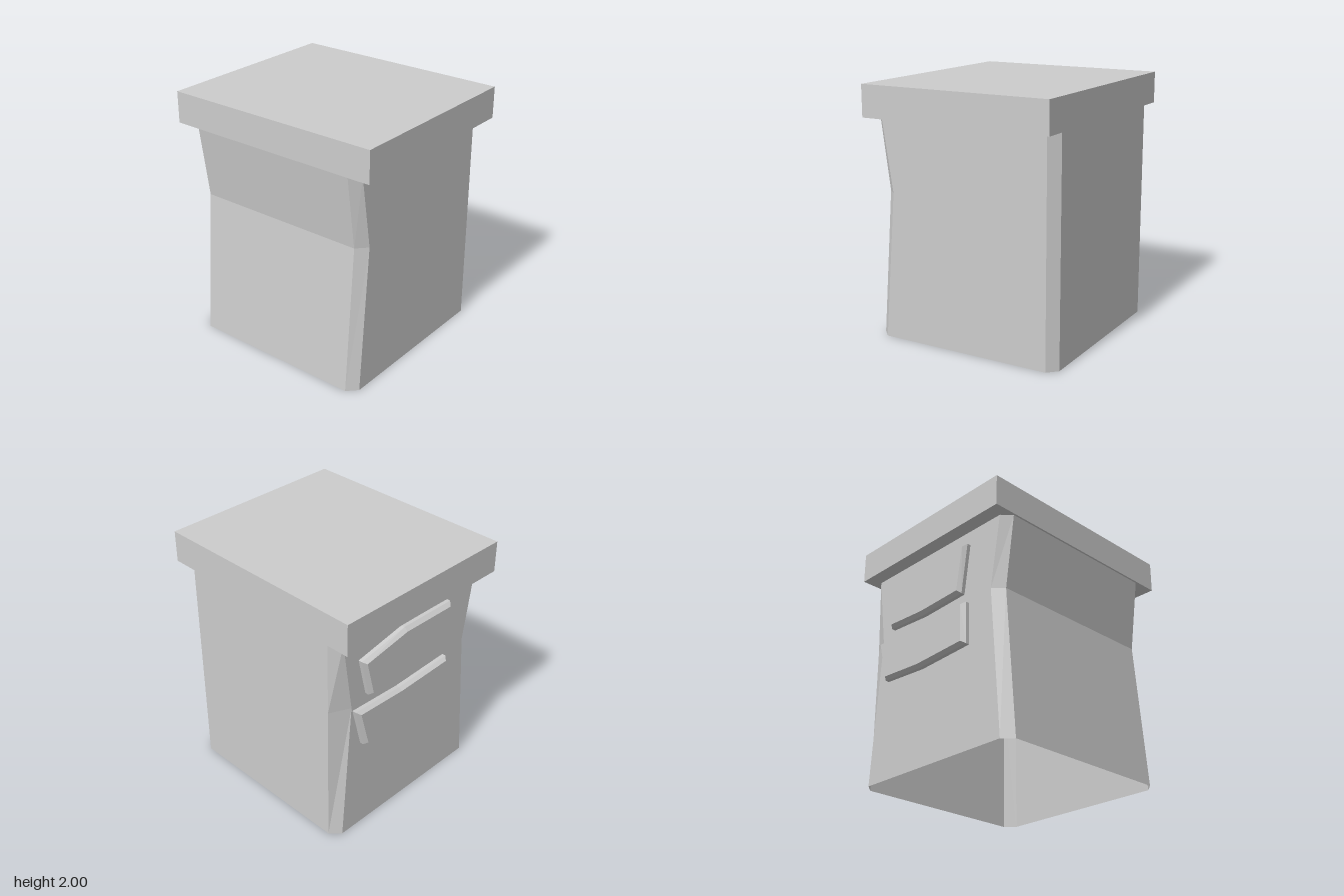
import * as THREE from 'three';

// Skins closed loops of points (counter-clockwise around the loft direction) with flat faces
function loft(loops, capEnd) {
  const p = [];
  for (let i = 0; i + 1 < loops.length; i++) {
    const lo = loops[i], hi = loops[i + 1], n = lo.length;
    for (let j = 0; j < n; j++) {
      const k = (j + 1) % n;
      p.push(...lo[j], ...lo[k], ...hi[k], ...lo[j], ...hi[k], ...hi[j]);
    }
  }
  if (capEnd) {
    const end = loops[loops.length - 1];
    for (let j = 1; j + 1 < end.length; j++) p.push(...end[0], ...end[j], ...end[j + 1]);
  }
  const g = new THREE.BufferGeometry();
  g.setAttribute('position', new THREE.Float32BufferAttribute(p, 3));
  g.computeVertexNormals();
  return g;
}

export function createModel() {
  const group = new THREE.Group();
  const grey = new THREE.MeshStandardMaterial({ color: 0xcccccc, side: THREE.DoubleSide });
  grey.name = 'grey';
  const add = (name, geometry) => {
    const mesh = new THREE.Mesh(geometry, grey);
    mesh.name = name;
    group.add(mesh);
    return mesh;
  };

  // Overhanging slab on top
  add('lid', new THREE.BoxGeometry(1.57, 0.25, 1.8)).position.y = 1.875;

  // Open-bottomed shell with chamfered corners, pinched at the waist
  const ring = (y, outer, inner, backInner) => [
    [inner, y, 0.78], [0.705, y, 0.78],
    [0.78, y, 0.705], [0.78, y, -0.71],
    [backInner, y, -0.785], [inner, y, -0.785],
    [outer, y, -0.71], [outer, y, 0.705],
  ];
  add('body', loft([
    ring(0, -0.785, -0.71, 0.705),
    ring(1.17, -0.69, -0.61, 0.62),
    ring(1.75, -0.77, -0.7, 0.705),
  ], false));

  // Raised panels on the back, with bevelled rims
  const panel = (name, outline) => {
    const cx = outline.reduce((s, q) => s + q[0], 0) / outline.length;
    const cy = outline.reduce((s, q) => s + q[1], 0) / outline.length;
    const loop = (z, sx, sy) => outline.map(([x, y]) => [cx + (x - cx) * sx, cy + (y - cy) * sy, z]);
    add(name, loft([loop(-0.78, 1, 1), loop(-0.815, 1, 1), loop(-0.845, 0.94, 0.88)], true));
  };
  panel('upperPanel', [
    [0.48, 1.23], [0.1, 1.21], [-0.33, 1.23], [-0.385, 1.63], [0.12, 1.635], [0.555, 1.55],
  ]);
  panel('lowerPanel', [
    [0.525, 0.8], [0.12, 0.775], [-0.39, 0.8], [-0.38, 1.14], [0.15, 1.12], [0.61, 1.14],
  ]);

  return group;
}
